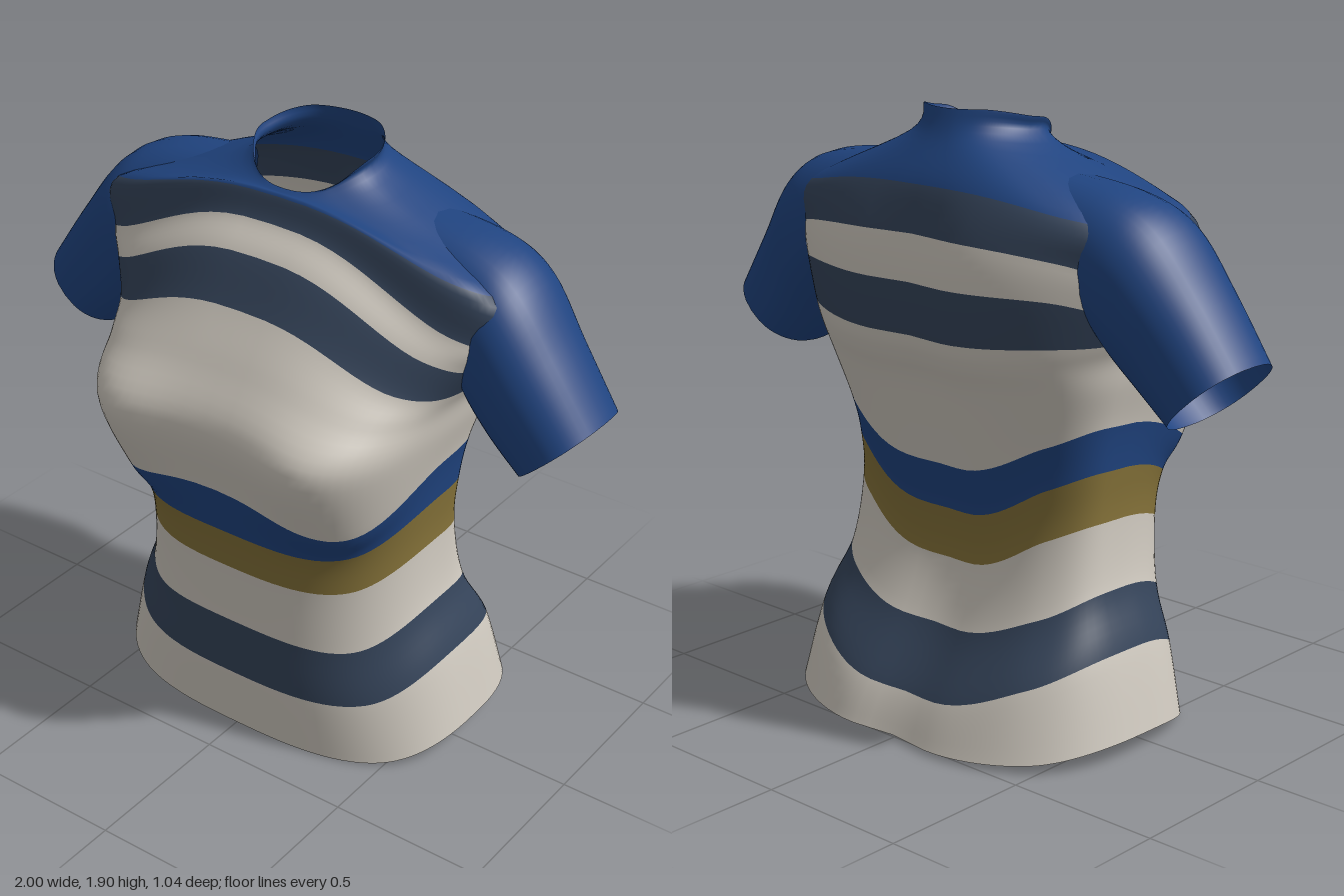
import * as THREE from 'three';

const mat = (name, color) =>
  new THREE.MeshStandardMaterial({ name, color, side: THREE.DoubleSide });

// Catmull-Rom blend of four numbers
const cubic = (a, b, c, d, t) =>
  b + 0.5 * t * (c - a + t * (2 * a - 5 * b + 4 * c - d + t * (3 * (b - c) + d - a)));

// Point of a unit superellipse of squareness p, evenly spread along its sides
const superPoint = (u, p) => {
  const f = (v) => Math.sign(v) * Math.pow(Math.abs(v), 0.7);
  const a = f(Math.sin(u)), b = f(Math.cos(u));
  const r = Math.pow(Math.abs(a) ** p + Math.abs(b) ** p, 1 / p);
  return [a / r, b / r];
};

const bell = (v, w) => Math.exp(-((v / w) ** 2));

// Smooth skin through closed rings of [x, y, z]; one material group per band
function loft(rings, sub, skip = () => false) {
  const n = rings[0].length, last = rings.length - 1;
  const ring = (i) => rings[Math.max(0, Math.min(last, i))];
  const pos = [], index = [];
  for (let r = 0; r <= last * sub; r++) {
    const i = Math.min(last - 1, Math.floor(r / sub)), t = r / sub - i;
    for (let j = 0; j < n; j++)
      for (let k = 0; k < 3; k++)
        pos.push(cubic(ring(i - 1)[j][k], ring(i)[j][k], ring(i + 1)[j][k], ring(i + 2)[j][k], t));
  }
  const geo = new THREE.BufferGeometry();
  for (let band = 0; band < last; band++) {
    const start = index.length;
    for (let r = band * sub; r < (band + 1) * sub; r++)
      for (let j = 0; j < n; j++) {
        const a = r * n + j, b = r * n + (j + 1) % n, c = b + n, d = a + n;
        if (skip(pos[a * 3], pos[a * 3 + 1], pos[a * 3 + 2])) continue;
        index.push(a, b, c, a, c, d);
      }
    geo.addGroup(start, index.length - start, band);
  }
  geo.setAttribute('position', new THREE.Float32BufferAttribute(pos, 3));
  geo.setIndex(index);
  geo.computeVertexNormals();
  return geo;
}

// Each ring: heights at front, front corner, side, back corner, back;
// then half width, front z, back z, squareness of front and of back
const TORSO = [
  [0.005, 0.01, 0.065, 0.03, 0.015, 0.63, 0.36, -0.54, 2.7, 2.5], // hem
  [0.21, 0.22, 0.32, 0.24, 0.14, 0.57, 0.37, -0.48, 2.7, 2.5],    // hip stripe bottom
  [0.41, 0.40, 0.49, 0.42, 0.33, 0.505, 0.37, -0.35, 2.7, 2.6],   // hip stripe top
  [0.62, 0.62, 0.70, 0.65, 0.52, 0.485, 0.38, -0.28, 2.7, 2.6],   // gold bottom
  [0.76, 0.76, 0.86, 0.81, 0.68, 0.495, 0.40, -0.285, 2.8, 2.6],  // gold top
  [0.93, 0.87, 1.00, 0.95, 0.83, 0.515, 0.44, -0.32, 3.3, 2.7],   // waist stripe top
  [1.15, 1.12, 1.13, 1.12, 1.08, 0.55, 0.485, -0.39, 3.9, 2.7],   // bust
  [1.32, 1.25, 1.22, 1.20, 1.18, 0.57, 0.40, -0.43, 3.8, 2.6],    // chest
  [1.47, 1.33, 1.28, 1.27, 1.25, 0.60, 0.305, -0.445, 3.8, 2.5],  // chest stripe bottom
  [1.61, 1.43, 1.36, 1.41, 1.41, 0.645, 0.225, -0.45, 4.3, 2.4],  // chest stripe top
  [1.69, 1.50, 1.45, 1.52, 1.55, 0.685, 0.155, -0.43, 5, 2.3],    // top stripe bottom
  [1.765, 1.65, 1.60, 1.64, 1.69, 0.69, 0.125, -0.37, 4.2, 2.4],  // yoke edge
  [1.772, 1.775, 1.80, 1.815, 1.82, 0.24, 0.11, -0.29, 2.1, 2.1], // collar base
  [1.78, 1.81, 1.875, 1.90, 1.90, 0.20, 0.095, -0.255, 2, 2],     // collar rim
];

function torsoRing([y0, y1, y2, y3, y4, hw, zF, zB, pF, pB]) {
  const keys = [y0, y1, y2, y3, y4, y3, y2, y1];
  const N = 96, zc = -0.07;
  return Array.from({ length: N }, (_, j) => {
    const s = (j / N) * 8, i = Math.floor(s), k = (o) => keys[(i + o + 8) % 8];
    const y = cubic(k(-1), k(0), k(1), k(2), s - i);
    const [sx, sz] = superPoint((j / N) * Math.PI * 2, s < 2 || s > 6 ? pF : pB);
    const x = hw * sx;
    let z = zc + sz * (sz > 0 ? zF - zc : zc - zB);
    // bust on the front, shallow spine groove on the back
    if (sz > 0) z += 0.06 * sz * bell(Math.abs(x) - 0.36, 0.19) * bell(y - 1.06, 0.18);
    else if (y < 1.6) z -= 0.03 * sz * bell(x, 0.13);
    return [x, y, z];
  });
}

// Each section: top x, top y, bottom x, bottom y, half depth, centre z
const SLEEVE = [
  [0.34, 1.74, 0.48, 1.36, 0.17, -0.12],
  [0.58, 1.708, 0.555, 1.28, 0.195, -0.115],
  [0.73, 1.635, 0.60, 1.215, 0.205, -0.10],
  [0.865, 1.46, 0.68, 1.13, 0.19, -0.085],
  [1.0, 1.265, 0.77, 1.05, 0.175, -0.08],
];

function sleeveRing([tx, ty, bx, by, depth, zc], side) {
  const N = 40;
  return Array.from({ length: N }, (_, j) => {
    const [sz, sv] = superPoint((side * j / N) * Math.PI * 2, 2.2);
    const t = (1 + sv) / 2;
    return [side * (bx + (tx - bx) * t), by + (ty - by) * t, zc + depth * sz];
  });
}

export function createModel() {
  const cream = mat('cream', 0xd0cac0);
  const navy = mat('navy', 0x35445a);
  const blue = mat('blue', 0x204480);
  const gold = mat('gold', 0x857239);
  const shirt = new THREE.Group();
  shirt.name = 'shirt';

  // Striped body with open armholes, blue yoke and collar
  const armhole = (x, y, z) =>
    Math.abs(x) > 0.53 && y > 1.33 && y < 1.6 && z > -0.26 && z < 0.02;
  const body = new THREE.Mesh(loft(TORSO.map(torsoRing), 6, armhole), [
    cream, navy, cream, gold, blue, cream, cream, cream, navy, cream, navy, blue, blue,
  ]);
  body.name = 'body';
  shirt.add(body);

  // Short sleeves
  for (const side of [1, -1]) {
    const sleeve = new THREE.Mesh(loft(SLEEVE.map((s) => sleeveRing(s, side)), 6), blue);
    sleeve.name = side > 0 ? 'leftSleeve' : 'rightSleeve';
    shirt.add(sleeve);
  }
  return shirt;
}
